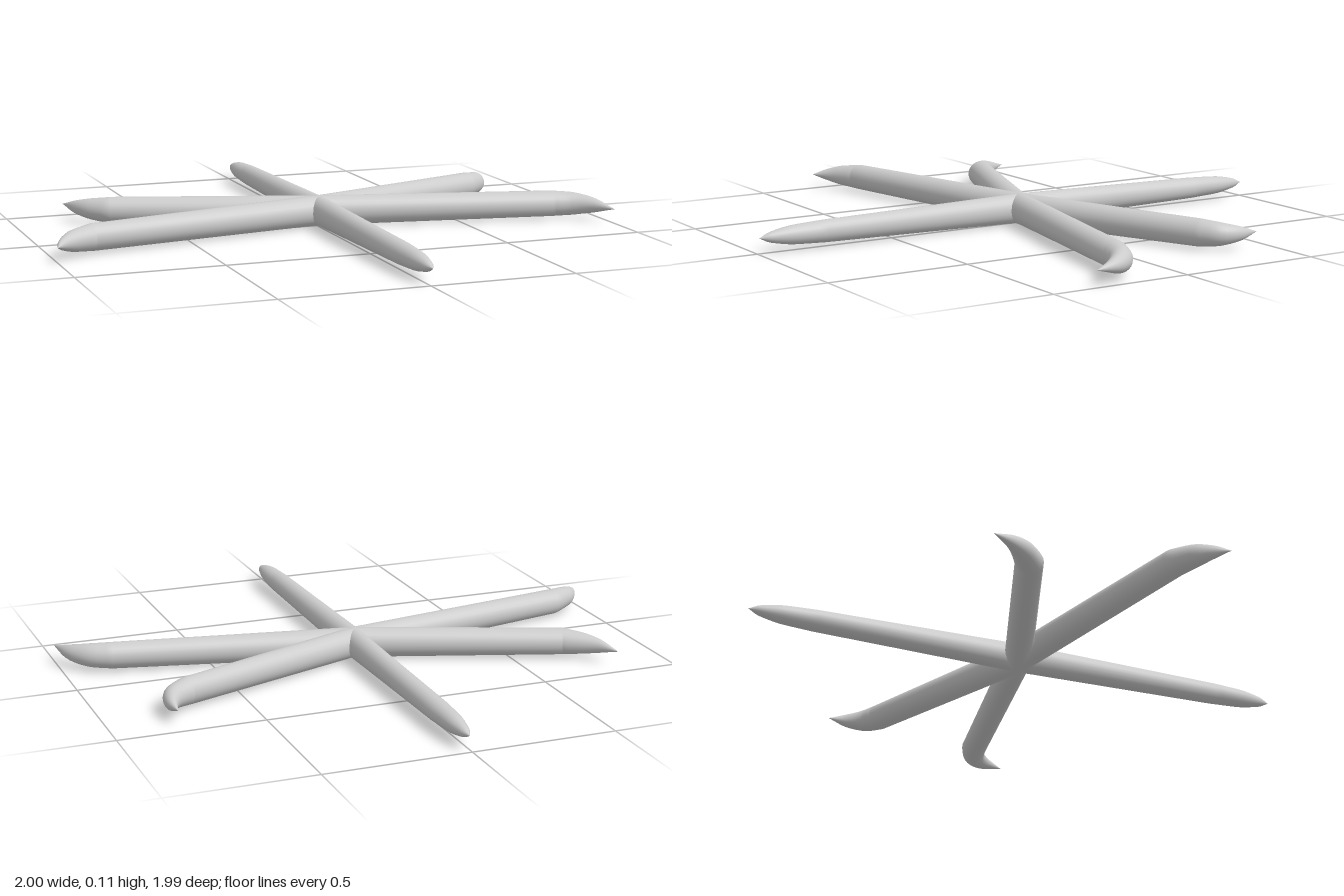
import * as THREE from 'three';

const MID_Y = 0.053, SIDES = 24, TAIL_STEPS = 14;
const HUB = [0.008, -0.01];

// Sweeps an oval section along stations [x, z, half width, half height], closing to a point.
function armGeometry(stations) {
  const centre = new THREE.CatmullRomCurve3(stations.slice(1).map(([x, z]) => new THREE.Vector3(x, 0, z)));
  const size = new THREE.CatmullRomCurve3(stations.slice(1).map(([, , w, h]) => new THREE.Vector3(w, h, 0)));
  const rings = [];
  const [s, e] = stations;
  // straight shaft
  const shaftDir = new THREE.Vector3(e[0] - s[0], 0, e[1] - s[1]).normalize();
  rings.push({ p: new THREE.Vector3(s[0], 0, s[1]), d: shaftDir, w: s[2], h: s[3] });
  // tapering tail
  for (let i = 0; i <= TAIL_STEPS; i++) {
    const t = i / TAIL_STEPS, r = size.getPoint(t);
    const d = i === 0 ? shaftDir : centre.getTangent(t);
    rings.push({ p: centre.getPoint(t), d, w: Math.max(r.x, 0.0005), h: Math.max(r.y, 0.0005) });
  }
  const pos = [], index = [];
  for (const { p, d, w, h } of rings) {
    for (let j = 0; j < SIDES; j++) {
      const a = (j / SIDES) * Math.PI * 2, c = Math.cos(a) * w;
      pos.push(p.x - d.z * c, MID_Y + Math.sin(a) * h, p.z + d.x * c);
    }
  }
  for (let i = 0; i < rings.length - 1; i++) {
    for (let j = 0; j < SIDES; j++) {
      const a = i * SIDES + j, b = i * SIDES + (j + 1) % SIDES;
      index.push(a, a + SIDES, b, b, a + SIDES, b + SIDES);
    }
  }
  const g = new THREE.BufferGeometry();
  g.setAttribute('position', new THREE.Float32BufferAttribute(pos, 3));
  g.setIndex(index);
  g.computeVertexNormals();
  return g;
}

export function createModel() {
  const model = new THREE.Group();
  model.name = 'sixArmStar';
  const material = new THREE.MeshStandardMaterial({ color: 0xcccccc, side: THREE.DoubleSide });

  // straight arms, front and back
  const straight = (sign) => [
    [HUB[0], HUB[1], 0.041, 0.052],
    [0.008, sign * 0.76, 0.038, 0.038],
    [0.008, sign * 0.88, 0.032, 0.032],
    [0.008, sign * 0.96, 0.017, 0.017],
    [0.008, sign * 0.995, 0, 0],
  ];
  // hooked arms: shaft end, bend and pointed tip
  const hooked = (...tail) => [[...HUB, 0.049, 0.053], ...tail];

  const arms = {
    frontArm: straight(1),
    backArm: straight(-1),
    leftFrontArm: hooked([0.835, 0.16, 0.046, 0.046], [0.905, 0.19, 0.04, 0.041],
      [0.957, 0.243, 0.028, 0.028], [0.995, 0.34, 0, 0]),
    rightFrontArm: hooked([-0.855, 0.163, 0.047, 0.046], [-0.931, 0.206, 0.036, 0.036],
      [-0.977, 0.252, 0.017, 0.018], [-1.0, 0.29, 0, 0]),
    leftBackArm: hooked([0.7, -0.28, 0.046, 0.047], [0.752, -0.318, 0.04, 0.04],
      [0.78, -0.38, 0.022, 0.025], [0.782, -0.45, 0, 0]),
    rightBackArm: hooked([-0.675, -0.267, 0.047, 0.047], [-0.737, -0.32, 0.036, 0.037],
      [-0.775, -0.37, 0.021, 0.024], [-0.807, -0.445, 0, 0]),
  };
  for (const [name, stations] of Object.entries(arms)) {
    const mesh = new THREE.Mesh(armGeometry(stations), material);
    mesh.name = name;
    model.add(mesh);
  }
  return model;
}
